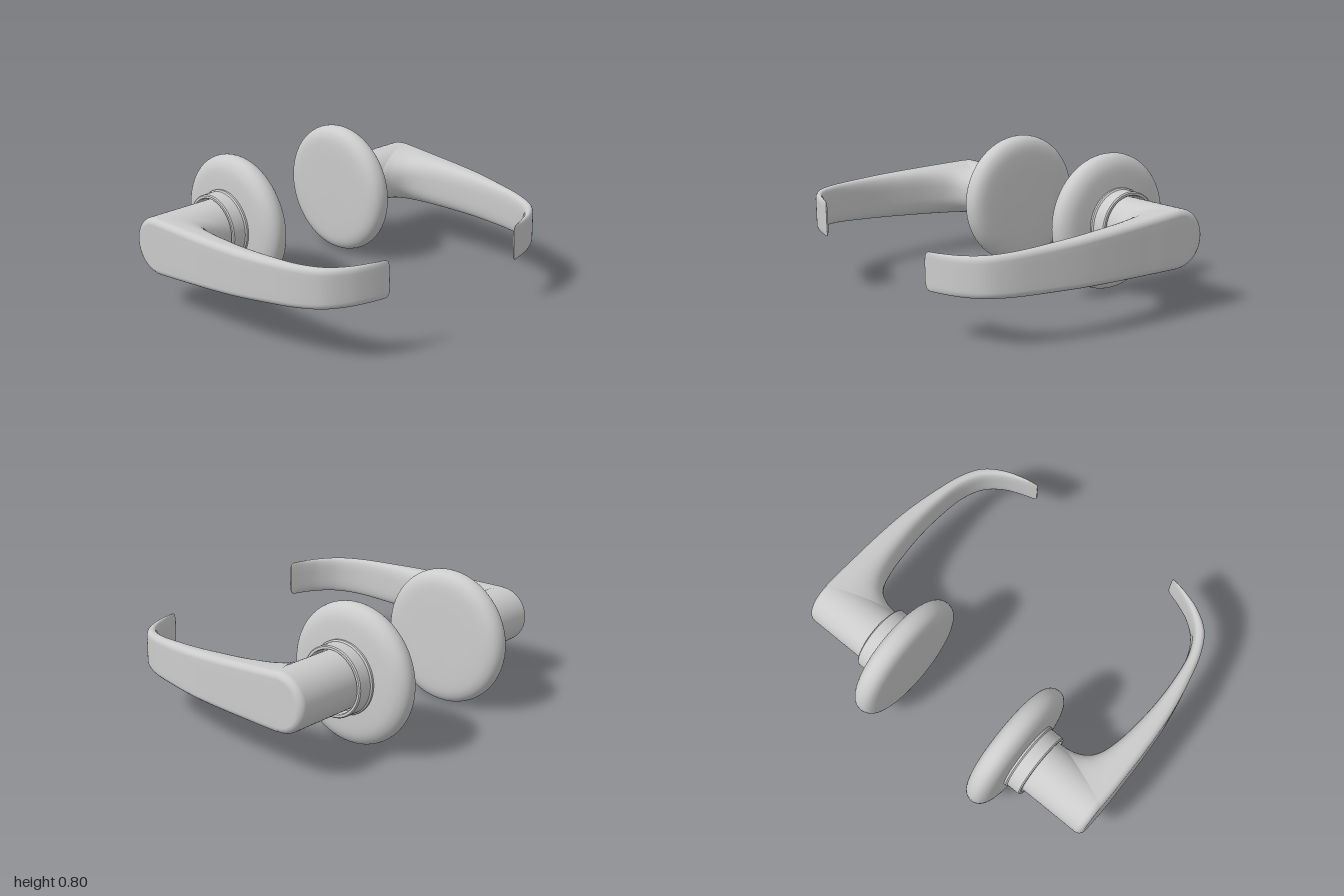
import * as THREE from 'three';

const material = new THREE.MeshStandardMaterial({ color: 0xcccccc, roughness: 0.6 });
const AXIS_Z = -0.463; // spindle axis

// Revolves a [radius, x] profile around the spindle axis
function turned(name, profile) {
  const geometry = new THREE.LatheGeometry(profile.map(([r, x]) => new THREE.Vector2(r, x)), 64);
  geometry.rotateZ(-Math.PI / 2);
  geometry.translate(0, 0, AXIS_Z);
  const mesh = new THREE.Mesh(geometry, material);
  mesh.name = name;
  return mesh;
}

const curve = (points) => new THREE.CatmullRomCurve3(points.map(([x, z]) => new THREE.Vector3(x, 0, z)));

// Outer and inner edges of the lever, as matching [x, z] stations
const outerEdge = curve([[1, -0.463], [1, -0.4], [1, -0.33], [0.998, -0.24], [0.995, -0.1], [0.988, 0.05],
  [0.975, 0.2], [0.94, 0.4], [0.888, 0.595], [0.823, 0.713], [0.716, 0.79], [0.604, 0.828], [0.495, 0.848]]);
const innerEdge = curve([[0.6, -0.3], [0.68, -0.29], [0.755, -0.255], [0.8, -0.2], [0.835, -0.09], [0.855, 0.06],
  [0.864, 0.2], [0.859, 0.38], [0.834, 0.55], [0.775, 0.675], [0.685, 0.755], [0.595, 0.8], [0.495, 0.838]]);

// Half outline of a section: [t, y], t from outer (0) to inner (1), y from 0 to 1
function halfSection(cornerT, cornerY, power) {
  const points = [[0, 0], [0, 0.45]];
  for (let i = 0; i <= 5; i++) {
    const a = (i / 5) * Math.PI / 2;
    points.push([cornerT * (1 - Math.cos(a)), 1 - cornerY + cornerY * Math.sin(a)]);
  }
  for (let i = 1; i <= 12; i++) {
    const a = (i / 12) * Math.PI / 2;
    const t = Math.pow(Math.sin(a), 2 / power);
    const y = i === 12 ? 0 : Math.pow(Math.cos(a), 2 / power);
    points.push([cornerT + (1 - cornerT) * t, y]);
  }
  return points;
}

// Lever lofted between the two edges, round at the hub and slab-like at the grip
function lever() {
  const steps = 72, positions = [], index = [];
  let ringSize = 0;
  for (let i = 0; i <= steps; i++) {
    const u = 1 - Math.pow(1 - i / steps, 1.4);
    const o = outerEdge.getPoint(u), n = innerEdge.getPoint(u);
    const along = THREE.MathUtils.clamp((o.z - AXIS_Z) / 1.31, 0, 1);
    const top = THREE.MathUtils.lerp(0.164, 0.058, along);
    const bottom = THREE.MathUtils.lerp(-0.164, -0.15, along);
    // Rounded corners at the tip
    const short = Math.max(0, 0.03 - (1 - u) * 1.3);
    const half = (top - bottom) / 2 - (0.03 - Math.sqrt(0.0009 - short * short));
    const middle = (top + bottom) / 2;
    const cornerT = Math.min(0.035 / o.distanceTo(n), 0.4);
    const power = 2 + 1.3 * THREE.MathUtils.smoothstep(u, 0, 0.45);
    const upper = halfSection(cornerT, 0.035 / half, power);
    const lower = upper.slice(1, -1).reverse().map(([t, y]) => [t, -y]);
    const ring = [...upper, ...lower];
    ringSize = ring.length;
    for (const [t, y] of ring) {
      const p = o.clone().lerp(n, t);
      positions.push(p.x, middle + y * half, p.z);
    }
  }
  for (let i = 0; i < steps; i++) {
    for (let j = 0; j < ringSize; j++) {
      const a = i * ringSize + j, b = i * ringSize + (j + 1) % ringSize;
      index.push(a, b, a + ringSize, b, b + ringSize, a + ringSize);
    }
  }
  // Tip cap
  const last = steps * ringSize;
  for (let j = 1; j < ringSize - 1; j++) index.push(last, last + j, last + j + 1);
  const geometry = new THREE.BufferGeometry();
  geometry.setAttribute('position', new THREE.Float32BufferAttribute(positions, 3));
  geometry.setIndex(index);
  geometry.computeVertexNormals();
  const mesh = new THREE.Mesh(geometry, material);
  mesh.name = 'lever';
  return mesh;
}

function handle(name) {
  const group = new THREE.Group();
  group.name = name;

  // Pillow-edged round plate
  const rim = new THREE.SplineCurve([[0.2, 0.33], [0.3, 0.334], [0.35, 0.346], [0.38, 0.37], [0.392, 0.408],
    [0.382, 0.444], [0.35, 0.471], [0.3, 0.486], [0.2, 0.494]].map(([r, x]) => new THREE.Vector2(r, x)));
  const plate = [[0, 0.329], ...rim.getPoints(36).map((p) => [p.x, p.y]), [0, 0.495]];
  group.add(turned('rose', plate));

  // Open collar with a recess around the hub
  group.add(turned('collar', [[0.205, 0.48], [0.205, 0.505], [0.205, 0.505], [0.197, 0.512], [0.197, 0.512],
    [0.197, 0.588], [0.197, 0.588], [0.191, 0.595], [0.191, 0.595], [0.178, 0.595], [0.178, 0.595],
    [0.174, 0.589], [0.174, 0.589], [0.174, 0.52], [0.174, 0.52], [0.15, 0.52]]));

  // Hub with a rounded outer end
  const hub = [[0.164, 0.5], [0.164, 0.75]];
  for (let i = 0; i <= 8; i++) {
    const a = (i / 8) * Math.PI / 2;
    hub.push([0.126 + 0.038 * Math.cos(a), 0.96 + 0.038 * Math.sin(a)]);
  }
  hub.push([0.08, 0.998], [0, 0.998]);
  group.add(turned('hub', hub));

  group.add(lever());
  return group;
}

export function createModel() {
  const model = new THREE.Group();
  model.name = 'doorHandles';

  // The second handle is the first turned half way round
  const pair = new THREE.Group();
  pair.name = 'handlePair';
  const left = handle('leftHandle');
  const right = handle('rightHandle');
  right.rotation.z = Math.PI;
  pair.add(left, right);
  pair.rotation.z = 0.022;
  pair.position.y = 0.402;
  model.add(pair);
  return model;
}
